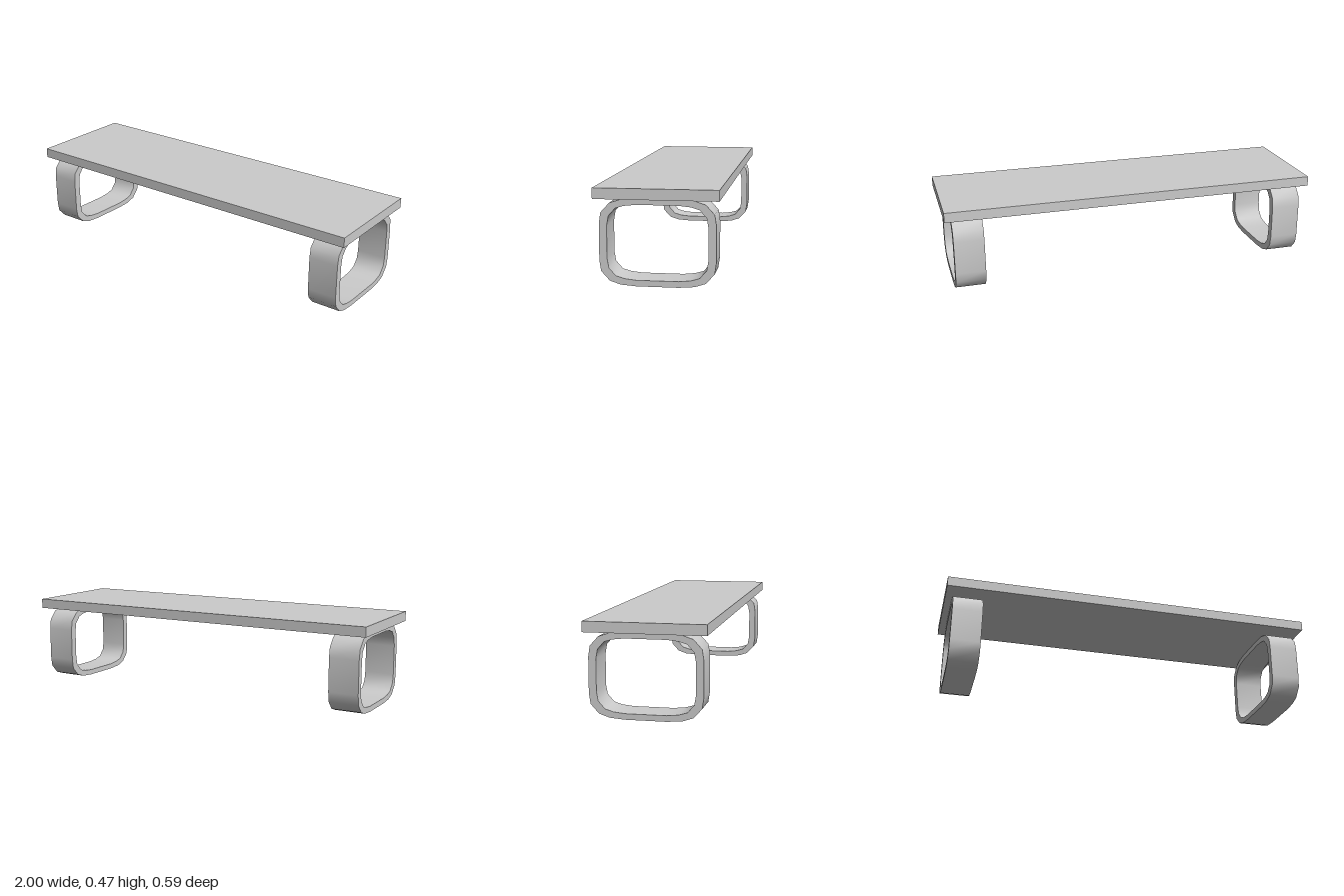
import * as THREE from 'three';
import { toCreasedNormals } from 'three/addons/utils/BufferGeometryUtils.js';

const LEG_MID_Y = 0.208;

// Mirror one quarter of an outline (from side to top) into a closed anticlockwise loop
function fullLoop(quarter) {
  const back = [...quarter].reverse();
  return [
    ...quarter,
    ...back.map(([x, y]) => [-x, y]),
    ...quarter.map(([x, y]) => [-x, -y]),
    ...back.map(([x, y]) => [x, -y]),
  ].map(([x, y]) => new THREE.Vector2(x, y));
}

// Rounded hoop: outer outline with an inner hole, extruded along the bench
function hoopGeometry(width) {
  const outer = [[0.275, 0.087], [0.267, 0.139], [0.226, 0.184], [0.175, 0.201], [0.1, 0.207]];
  const inner = [[0.238, 0.077], [0.23, 0.123], [0.197, 0.16], [0.156, 0.172], [0.1, 0.178]];
  const shape = new THREE.Shape(fullLoop(outer));
  shape.holes.push(new THREE.Path(fullLoop(inner)));
  const geometry = new THREE.ExtrudeGeometry(shape, { depth: width, bevelEnabled: false });
  geometry.translate(0, 0, -width / 2);
  geometry.rotateY(Math.PI / 2);
  return toCreasedNormals(geometry, 0.9);
}

export function createModel() {
  const group = new THREE.Group();
  group.name = 'bench';
  const material = new THREE.MeshStandardMaterial({ color: 0xcccccc });

  // Flat plank on top
  const seat = new THREE.Mesh(new THREE.BoxGeometry(2, 0.052, 0.589), material);
  seat.name = 'seat';
  seat.position.y = 0.441;
  group.add(seat);

  // One hoop leg near each end
  const hoop = hoopGeometry(0.158);
  for (const [name, x] of [['leftLeg', 0.882], ['rightLeg', -0.884]]) {
    const leg = new THREE.Mesh(hoop, material);
    leg.name = name;
    leg.position.set(x, LEG_MID_Y, -0.002);
    group.add(leg);
  }
  return group;
}
